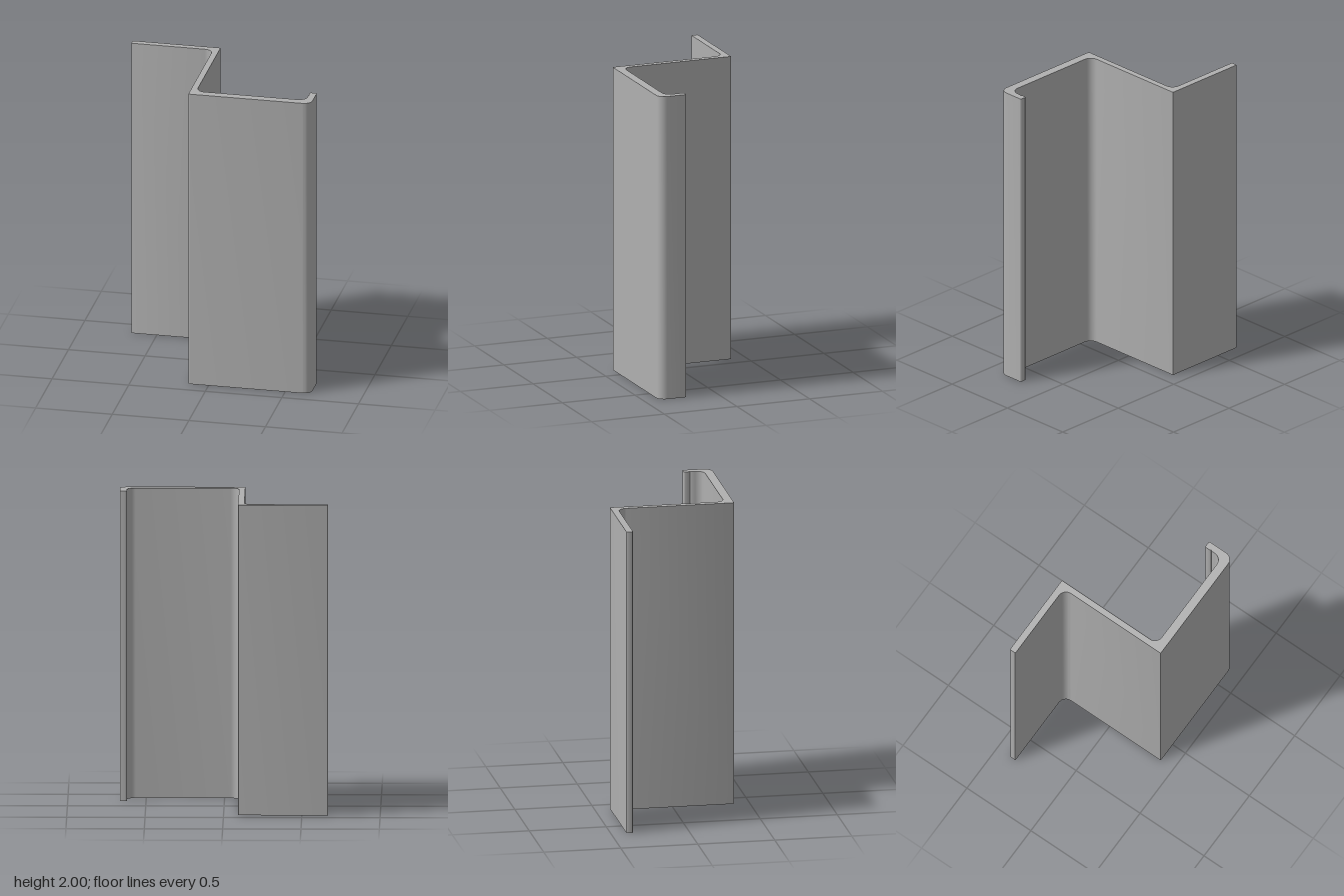
import * as THREE from 'three';
import { toCreasedNormals } from 'three/addons/utils/BufferGeometryUtils.js';

// Closed outline from corners [x, z, radius], each corner rounded by a near-circular curve
function roundedOutline(corners) {
  const shape = new THREE.Shape();
  const n = corners.length;
  const point = (i) => new THREE.Vector2(corners[(i + n) % n][0], -corners[(i + n) % n][1]);
  for (let i = 0; i < n; i++) {
    const p = point(i), r = corners[i][2];
    const toPrev = point(i - 1).sub(p).normalize();
    const toNext = point(i + 1).sub(p).normalize();
    const at = (dir, d) => p.clone().addScaledVector(dir, d);
    const a = at(toPrev, r), b = at(toNext, r);
    const c = at(toPrev, r * 0.448), d = at(toNext, r * 0.448);
    if (i === 0) shape.moveTo(a.x, a.y);
    else shape.lineTo(a.x, a.y);
    shape.bezierCurveTo(c.x, c.y, d.x, d.y, b.x, b.y);
  }
  shape.closePath();
  return shape;
}

export function createModel() {
  const metal = new THREE.MeshStandardMaterial({ color: 0xb0b0b0 });
  metal.name = 'grey metal';

  const profile = roundedOutline([
    // rear flange and inside of the web
    [-0.667, -0.4, 0.006],
    [-0.093, -0.4, 0.004],
    [-0.093, 0.343, 0.055],
    // inside of the front flange, and the lip with its small groove
    [0.622, 0.343, 0.055],
    [0.622, 0.263, 0.003],
    [0.628, 0.256, 0.003],
    [0.621, 0.247, 0.003],
    [0.621, 0.213, 0.01],
    [0.667, 0.213, 0.01],
    // outside of the front flange and web
    [0.667, 0.4, 0.055],
    [-0.132, 0.4, 0.008],
    [-0.132, -0.357, 0.055],
    [-0.667, -0.357, 0.006],
  ]);

  const geometry = new THREE.ExtrudeGeometry(profile, {
    depth: 2, bevelEnabled: false, curveSegments: 10,
  });
  geometry.rotateX(-Math.PI / 2);

  const rail = new THREE.Mesh(toCreasedNormals(geometry, 0.5), metal);
  rail.name = 'zProfileRail';

  const group = new THREE.Group();
  group.name = 'extrudedProfile';
  group.add(rail);
  return group;
}
